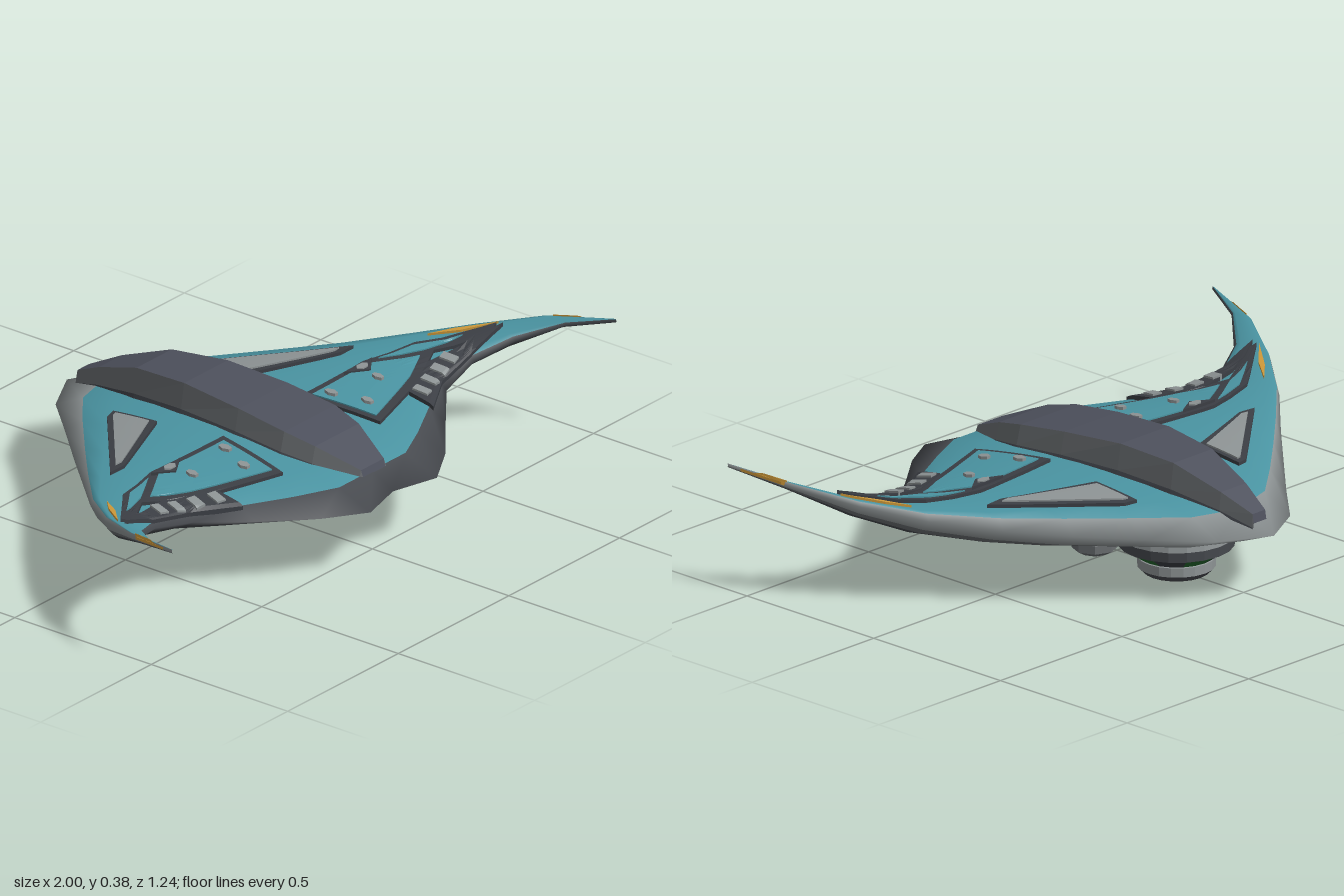
import * as THREE from 'three';

const paint = (name, color) => Object.assign(new THREE.MeshStandardMaterial({ color }), { name });
const lerp = THREE.MathUtils.lerp;

// Half-span stations:
// x, rear edge z, rear deck z, front deck z, front edge z, edge y, rear deck y, front deck y, crown, keel y
const STATIONS = [
  [0.00, -0.62, -0.48, 0.50, 0.575, 0.205, 0.250, 0.250, 0.045, 0.125],
  [0.15, -0.54, -0.44, 0.50, 0.615, 0.205, 0.255, 0.250, 0.042, 0.125],
  [0.28, -0.40, -0.335, 0.44, 0.54, 0.210, 0.260, 0.250, 0.034, 0.135],
  [0.43, -0.245, -0.205, 0.36, 0.42, 0.220, 0.265, 0.252, 0.026, 0.150],
  [0.57, -0.10, -0.08, 0.285, 0.31, 0.237, 0.272, 0.260, 0.018, 0.175],
  [0.72, 0.05, 0.06, 0.275, 0.29, 0.267, 0.290, 0.280, 0.010, 0.215],
  [0.84, 0.20, 0.207, 0.335, 0.345, 0.305, 0.320, 0.316, 0.005, 0.268],
  [0.94, 0.37, 0.374, 0.445, 0.45, 0.348, 0.358, 0.356, 0.002, 0.335],
  [1.00, 0.575, 0.577, 0.582, 0.584, 0.378, 0.385, 0.385, 0.000, 0.374],
];

function stationAt(x) {
  const a = Math.abs(x);
  let k = 0;
  while (k < STATIONS.length - 2 && STATIONS[k + 1][0] < a) k++;
  const p = STATIONS[k], q = STATIONS[k + 1], t = (a - p[0]) / (q[0] - p[0]);
  return p.map((v, i) => lerp(v, q[i], t));
}

// Height of the upper skin
function deckY(x, z) {
  const [, zb, tb, tf, zf, e, yb, yf, crown] = stationAt(x);
  if (z < tb) return lerp(e, yb, Math.max(0, (z - zb) / (tb - zb)));
  if (z > tf) return lerp(yf, e, Math.min(1, (z - tf) / (zf - tf)));
  const t = (z - tb) / (tf - tb);
  return lerp(yb, yf, t) + crown * 4 * t * (1 - t);
}

// Skin over rows of points, one material index per strip between rows
function skin(rows, strips, flat) {
  const n = rows[0].length, index = [];
  let geo = new THREE.BufferGeometry();
  geo.setAttribute('position', new THREE.Float32BufferAttribute(rows.flat(2), 3));
  strips.forEach((mat, j) => {
    const r = j * n, s = ((j + 1) % rows.length) * n;
    geo.addGroup(index.length, (n - 1) * 6, mat);
    for (let i = 0; i < n - 1; i++) index.push(r + i, s + i, r + i + 1, s + i, s + i + 1, r + i + 1);
  });
  geo.setIndex(index);
  if (flat) geo = geo.toNonIndexed();
  geo.computeVertexNormals();
  return geo;
}

// Thin plate with outline [x, z] laid over the upper skin
function drape(outline, lift, side) {
  const pts = outline.map(([x, z]) => new THREE.Vector2(x * side, z));
  if (THREE.ShapeUtils.area(pts) < 0) pts.reverse();
  const pos = [], K = 6;
  const put = (p, h) => pos.push(p.x, deckY(p.x, p.y) + h, p.y);
  for (const f of THREE.ShapeUtils.triangulateShape(pts, [])) {
    let [a, b, c] = f.map((i) => pts[i]);
    if (b.clone().sub(a).cross(c.clone().sub(a)) > 0) [b, c] = [c, b];
    const at = (u, v) => new THREE.Vector2(
      a.x + ((b.x - a.x) * u + (c.x - a.x) * v) / K, a.y + ((b.y - a.y) * u + (c.y - a.y) * v) / K);
    for (let u = 0; u < K; u++) for (let v = 0; v < K - u; v++) {
      [at(u, v), at(u + 1, v), at(u, v + 1)].forEach((p) => put(p, lift));
      if (u + v < K - 1) [at(u + 1, v), at(u + 1, v + 1), at(u, v + 1)].forEach((p) => put(p, lift));
    }
  }
  pts.forEach((p, i) => {
    const q = pts[(i + 1) % pts.length];
    for (let k = 0; k < K; k++) {
      const a = p.clone().lerp(q, k / K), b = p.clone().lerp(q, (k + 1) / K);
      put(a, lift); put(b, lift); put(a, -0.004);
      put(b, lift); put(b, -0.004); put(a, -0.004);
    }
  });
  const geo = new THREE.BufferGeometry();
  geo.setAttribute('position', new THREE.Float32BufferAttribute(pos, 3));
  geo.computeVertexNormals();
  return geo;
}

const spot = (x, z, rx, rz) => Array.from({ length: 6 }, (_, i) =>
  [x + rx * Math.cos(i * Math.PI / 3), z + rz * Math.sin(i * Math.PI / 3)]);

export function createModel() {
  const model = new THREE.Group();
  model.name = 'glider';
  const teal = paint('teal', 0x4a94a2), grey = paint('light grey', 0x8d9394), mid = paint('mid grey', 0x686c6f);
  const dark = paint('dark grey', 0x484b50), slate = paint('slate', 0x4d505c), trim = paint('trim', 0x3b3e44);
  const green = paint('green', 0x25692f), orange = paint('orange', 0xd09a3a);
  const add = (name, geo, mat, parent = model) => {
    const mesh = new THREE.Mesh(geo, mat);
    mesh.name = name;
    parent.add(mesh);
    return mesh;
  };

  // Wing hull: deck, rims and underside as one smooth skin
  const xs = [...STATIONS.slice(1).map((s) => -s[0]).reverse(), ...STATIONS.map((s) => s[0])];
  const rows = [], strips = [];
  const row = (fn, mat) => { rows.push(xs.map((x) => [x, ...fn(stationAt(x))])); strips.push(mat); };
  row((s) => [s[5], s[1]], 1);
  for (let k = 0; k <= 8; k++) {
    const t = k / 8;
    row((s) => [lerp(s[6], s[7], t) + s[8] * 4 * t * (1 - t), lerp(s[2], s[3], t)], k < 8 ? 0 : 3);
  }
  [[0, 0, 3], [0.08, 0.33, 3], [0.18, 0.67, 3], [0.4, 0.92, 3], [0.65, 1, 3], [0.8, 0.85, 2], [0.9, 0.58, 1]]
    .forEach(([u, d, mat]) => row((s) => [lerp(s[5], s[9], d), lerp(s[4], s[1], u)], mat));
  add('wingHull', skin(rows, strips, false), [teal, grey, mid, dark]);

  // Canopy spine: z, half width, top y
  const spine = [[-0.565, 0.03, 0.235], [-0.56, 0.03, 0.262], [-0.46, 0.06, 0.31], [-0.3, 0.093, 0.365],
    [-0.11, 0.115, 0.38], [0.1, 0.13, 0.366], [0.27, 0.134, 0.345], [0.37, 0.115, 0.322],
    [0.5, 0.06, 0.268], [0.51, 0.057, 0.235]];
  const section = [[1.09, 0], [1.05, 0.1], [0.98, 0.25], [0.86, 1], [-0.86, 1], [-0.98, 0.25], [-1.05, 0.1], [-1.09, 0]];
  const spineRows = section.map(([fx, fy]) => spine.map(([z, w, top]) =>
    [fx * w, lerp(Math.min(deckY(0, z) - 0.015, top), top, fy), z]));
  add('canopySpine', skin(spineRows, [0, 0, 1, 2, 1, 0, 0], true), [trim, mid, slate]);

  // Deck panels on each wing
  for (const side of [1, -1]) {
    const wing = new THREE.Group();
    wing.name = side > 0 ? 'leftWingPanels' : 'rightWingPanels';
    model.add(wing);
    const plate = (name, outline, lift, mat) => add(name, drape(outline, lift, side), mat, wing);
    plate('rearPanelFrame', [[0.21, -0.28], [0.25, -0.27], [0.55, -0.015], [0.49, -0.012], [0.21, -0.12]], 0.010, trim);
    plate('rearPanel', [[0.225, -0.26], [0.243, -0.254], [0.505, -0.032], [0.48, -0.03], [0.225, -0.137]], 0.015, grey);
    plate('midPanelFrame', [[0.175, 0.095], [0.48, 0.077], [0.66, 0.12], [0.85, 0.265], [0.81, 0.275],
      [0.66, 0.19], [0.5, 0.26], [0.22, 0.35]], 0.010, trim);
    plate('midPanel', [[0.2, 0.117], [0.47, 0.1], [0.61, 0.18], [0.5, 0.232], [0.235, 0.322]], 0.014, teal);
    plate('armPanel', [[0.52, 0.1], [0.64, 0.13], [0.76, 0.215], [0.64, 0.17]], 0.014, teal);
    plate('hatch', [[0.37, 0.095], [0.5, 0.093], [0.44, 0.137]], 0.019, trim);
    [[0.435, 0.11, 0.024, 0.014], [0.24, 0.155, 0.014, 0.022], [0.42, 0.18, 0.013, 0.02], [0.28, 0.255, 0.014, 0.02]]
      .forEach((s) => plate('stud', spot(...s), 0.023, grey));
    plate('ventPanel', [[0.43, 0.375], [0.43, 0.285], [0.6, 0.215], [0.78, 0.245], [0.855, 0.285],
      [0.72, 0.278], [0.57, 0.295]], 0.012, trim);
    [[0.465, 0.305], [0.53, 0.282], [0.595, 0.264], [0.655, 0.25]].forEach(([x, z]) => plate('vent',
      [[x - 0.02, z - 0.02], [x + 0.01, z - 0.027], [x + 0.02, z + 0.02], [x - 0.01, z + 0.027]], 0.018, grey));
    plate('wingStripe', [[0.725, 0.115], [0.78, 0.165], [0.86, 0.265], [0.78, 0.19]], 0.007, orange);
    plate('tipStripe', [[0.945, 0.395], [0.955, 0.41], [0.99, 0.535], [0.965, 0.46]], 0.004, orange);

    // Small belly pod
    const pod = add('bellyPod', new THREE.LatheGeometry([[0, 0.085], [0.04, 0.085], [0.066, 0.1], [0.066, 0.125], [0.05, 0.16]]
      .map((p) => new THREE.Vector2(...p)), 8).toNonIndexed(), mid);
    pod.geometry.computeVertexNormals();
    pod.position.set(0.215 * side, 0, -0.118);
  }

  // Belly turret, stacked rings with alternating green lamps
  const turret = new THREE.Group();
  turret.name = 'bellyTurret';
  turret.position.z = -0.235;
  model.add(turret);
  const ring = (name, profile, mat, segs = 20, start = 0, len = Math.PI * 2) => {
    const geo = new THREE.LatheGeometry(profile.map((p) => new THREE.Vector2(...p)), segs, start, len).toNonIndexed();
    geo.computeVertexNormals();
    add(name, geo, mat, turret);
  };
  ring('turretBase', [[0, 0.002], [0.095, 0.002], [0.113, 0.02]], dark);
  ring('turretLowerRing', [[0.113, 0.02], [0.113, 0.048], [0.1, 0.053]], grey);
  for (let i = 0; i < 20; i++) {
    ring('turretLamp', [[0.11, 0.05], [0.155, 0.082]], i % 4 < 2 ? green : trim, 1, i * Math.PI / 10, Math.PI / 10);
  }
  ring('turretUpperRing', [[0.155, 0.08], [0.167, 0.085], [0.17, 0.115]], dark);
  ring('turretCollar', [[0.17, 0.115], [0.165, 0.15], [0.1, 0.19]], grey);
  return model;
}
